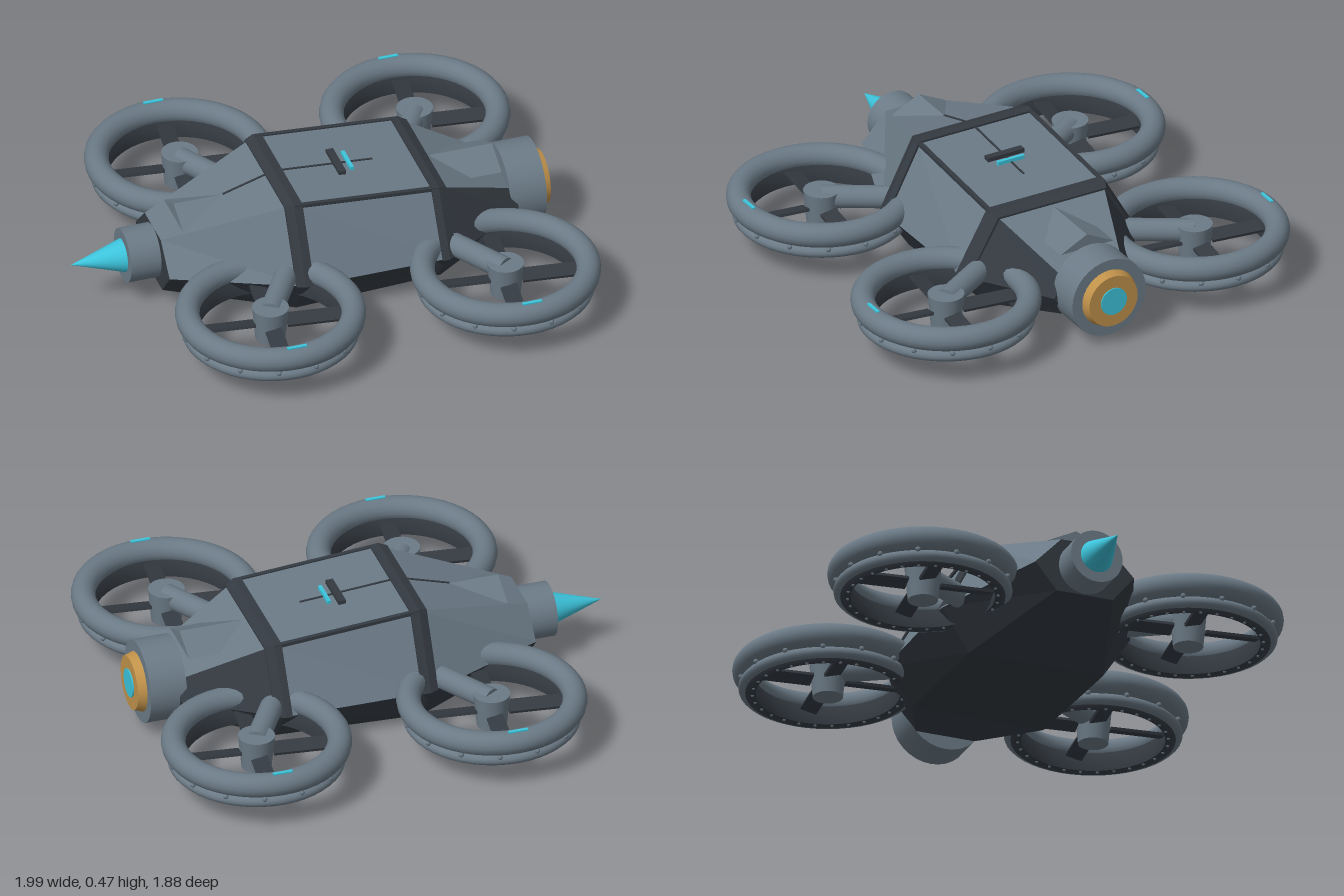
import * as THREE from 'three';

const mat = (name, color) => {
  const m = new THREE.MeshStandardMaterial({ color });
  m.name = name;
  return m;
};

export function createModel() {
  const model = new THREE.Group();
  const grey = mat('hullGrey', 0x6b7a86);
  const dark = mat('darkTrim', 0x343a41);
  const cyan = mat('glowCyan', 0x3cc4dc);
  const brass = mat('brass', 0xc0924a);

  const add = (name, geo, material, parent = model) => {
    const mesh = new THREE.Mesh(geo, material);
    mesh.name = name;
    parent.add(mesh);
    return mesh;
  };

  // Hull stations: x, top y, top z, middle y, middle z, bottom y, bottom z
  const stations = [
    [-0.66, 0.315, 0.1, 0.2, 0.21, 0.09, 0.12],
    [-0.16, 0.47, 0.25, 0.18, 0.4, 0.005, 0.285],
    [0.44, 0.425, 0.25, 0.18, 0.395, 0.028, 0.28],
    [0.8, 0.265, 0.13, 0.19, 0.18, 0.1, 0.11],
  ];
  const stationAt = (x) => {
    let i = 0;
    while (i < 2 && x > stations[i + 1][0]) i++;
    const [a, b] = [stations[i], stations[i + 1]];
    const t = (x - a[0]) / (b[0] - a[0]);
    return a.map((v, k) => v + (b[k] - v) * t);
  };
  const grow = (s, d) => [s[0], s[1] + d, s[2] + d, s[3], s[4] + d, s[5] - d / 2, s[6] + d];
  const ring = ([x, ty, tz, my, mz, by, bz]) => [
    [x, ty, tz], [x, my, mz], [x, by, bz], [x, by, -bz], [x, my, -mz], [x, ty, -tz],
  ];

  // Faceted skin between stations; sides lists the strips to cover (0 = upper left, 5 = roof)
  const skin = (list, sides, caps = false) => {
    const pos = [];
    const rings = list.map(ring);
    for (let i = 0; i + 1 < rings.length; i++) {
      for (const j of sides) {
        const k = (j + 1) % 6;
        const [a, b, c, d] = [rings[i][j], rings[i][k], rings[i + 1][k], rings[i + 1][j]];
        pos.push(...a, ...b, ...c, ...a, ...c, ...d);
      }
    }
    if (caps) {
      const [s, e] = [rings[0], rings[rings.length - 1]];
      for (let j = 1; j < 5; j++) {
        pos.push(...s[0], ...s[j + 1], ...s[j]);
        pos.push(...e[0], ...e[j], ...e[j + 1]);
      }
    }
    const geo = new THREE.BufferGeometry();
    geo.setAttribute('position', new THREE.Float32BufferAttribute(pos, 3));
    geo.computeVertexNormals();
    return geo;
  };

  add('upperHull', skin(stations.slice(0, 3), [0, 4, 5]), grey);
  add('tailRoof', skin(stations.slice(2), [5]), grey);
  add('tailSides', skin(stations.slice(2), [0, 4]), dark);
  add('lowerHull', skin(stations, [1, 2, 3], true), dark);

  // Raised dark bands around the hull
  for (const xs of [[-0.195, -0.16, -0.125], [0.41, 0.44, 0.475]]) {
    const s = xs.map(stationAt);
    add('hullBand', skin([s[0], ...s.map((v) => grow(v, 0.008)), s[2]], [0, 4, 5]), dark);
  }

  // Straight bar from p to q
  const beam = (name, p, q, w, h, material) => {
    const a = new THREE.Vector3(...p);
    const b = new THREE.Vector3(...q);
    const bar = add(name, new THREE.BoxGeometry(w, h, a.distanceTo(b)), material);
    bar.position.copy(a).add(b).multiplyScalar(0.5);
    bar.lookAt(b);
  };
  for (const s of [1, -1]) {
    beam('roofEdgeStrip', [-0.16, 0.468, s * 0.253], [0.44, 0.423, s * 0.253], 0.018, 0.014, dark);
  }
  beam('roofSeam', [-0.37, 0.406, 0], [-0.16, 0.471, 0], 0.008, 0.006, dark);
  beam('roofSeam', [-0.16, 0.471, 0], [0.25, 0.44, 0], 0.008, 0.006, dark);
  add('roofSensor', new THREE.BoxGeometry(0.03, 0.03, 0.165), dark).position.set(0.1, 0.452, 0);
  add('roofLight', new THREE.BoxGeometry(0.015, 0.02, 0.12), cyan).position.set(0.147, 0.452, 0);

  // Ridged spine running through the hull
  const ridge = new THREE.Shape([
    new THREE.Vector2(-0.12, 0.345), new THREE.Vector2(0.12, 0.345), new THREE.Vector2(0, 0.405),
  ]);
  const spine = new THREE.ExtrudeGeometry(ridge, { depth: 1.32, bevelEnabled: false });
  spine.rotateY(Math.PI / 2).translate(-0.573, 0, 0);
  add('spine', spine, grey);

  // Parts turned around the long axis
  const lengthwise = (name, rFront, rBack, x0, x1, material) => {
    const geo = new THREE.CylinderGeometry(rFront, rBack, x1 - x0, 32);
    geo.rotateZ(-Math.PI / 2).translate((x0 + x1) / 2, 0.205, 0);
    add(name, geo, material);
  };
  lengthwise('noseCollar', 0.11, 0.11, -0.785, -0.64, grey);
  lengthwise('noseCone', 0.068, 0, -1, -0.785, cyan);
  lengthwise('engineHousing', 0.167, 0.167, 0.77, 0.92, grey);
  lengthwise('engineRing', 0.11, 0.122, 0.92, 0.955, brass);
  lengthwise('engineGlow', 0.058, 0.058, 0.955, 0.96, cyan);

  // Ducted rotors
  const upperRing = new THREE.TorusGeometry(0.328, 0.049, 16, 48).rotateX(Math.PI / 2);
  const lowerRing = new THREE.TorusGeometry(0.33, 0.023, 12, 48).rotateX(Math.PI / 2);
  const wall = new THREE.LatheGeometry([
    [0.285, 0.11], [0.325, 0.11], [0.335, 0.2], [0.285, 0.2], [0.285, 0.11],
  ].map(([r, y]) => new THREE.Vector2(r, y)), 48);
  const hub = new THREE.CylinderGeometry(0.073, 0.06, 0.14, 24);
  const blade = new THREE.BoxGeometry(0.22, 0.012, 0.068).rotateX(0.25).translate(0.175, 0, 0);
  const bolt = new THREE.SphereGeometry(0.011, 8, 6);
  const stud = new THREE.SphereGeometry(0.007, 6, 4);

  const makeRotor = (x, side, inward) => {
    const rotor = new THREE.Group();
    rotor.name = 'rotor';
    rotor.position.set(x, 0, side * 0.565);
    model.add(rotor);
    add('upperRing', upperRing, grey, rotor).position.y = 0.21;
    add('lowerRing', lowerRing, grey, rotor).position.y = 0.136;
    add('ductWall', wall, dark, rotor);
    add('hub', hub, grey, rotor).position.y = 0.165;
    for (let i = 0; i < 4; i++) {
      const b = add('blade', blade, dark, rotor);
      b.position.y = 0.165;
      b.rotation.y = -0.12 + (i * Math.PI) / 2;
    }
    for (let i = 0; i < 14; i++) {
      const a = (i / 14) * Math.PI * 2;
      add('bolt', bolt, grey, rotor).position.set(Math.cos(a) * 0.347, 0.156, Math.sin(a) * 0.347);
    }
    for (let i = 0; i < 28; i++) {
      const a = (i / 28) * Math.PI * 2;
      add('stud', stud, grey, rotor).position.set(Math.cos(a) * 0.297, 0.11, Math.sin(a) * 0.297);
    }
    const light = add('ringLight', new THREE.BoxGeometry(0.08, 0.008, 0.014), cyan, rotor);
    light.position.set(0, 0.259, side * 0.33);

    // Arm to the hull
    const dir = new THREE.Vector3(inward * 0.165, 0, -side * 0.27);
    const arm = add('arm', new THREE.CylinderGeometry(0.046, 0.046, dir.length(), 20), grey, rotor);
    arm.position.copy(dir).multiplyScalar(0.5).setY(0.205);
    arm.quaternion.setFromUnitVectors(new THREE.Vector3(0, 1, 0), dir.clone().normalize());
  };
  for (const side of [1, -1]) {
    makeRotor(-0.36, side, 1);
    makeRotor(0.615, side, -1);
  }

  return model;
}
